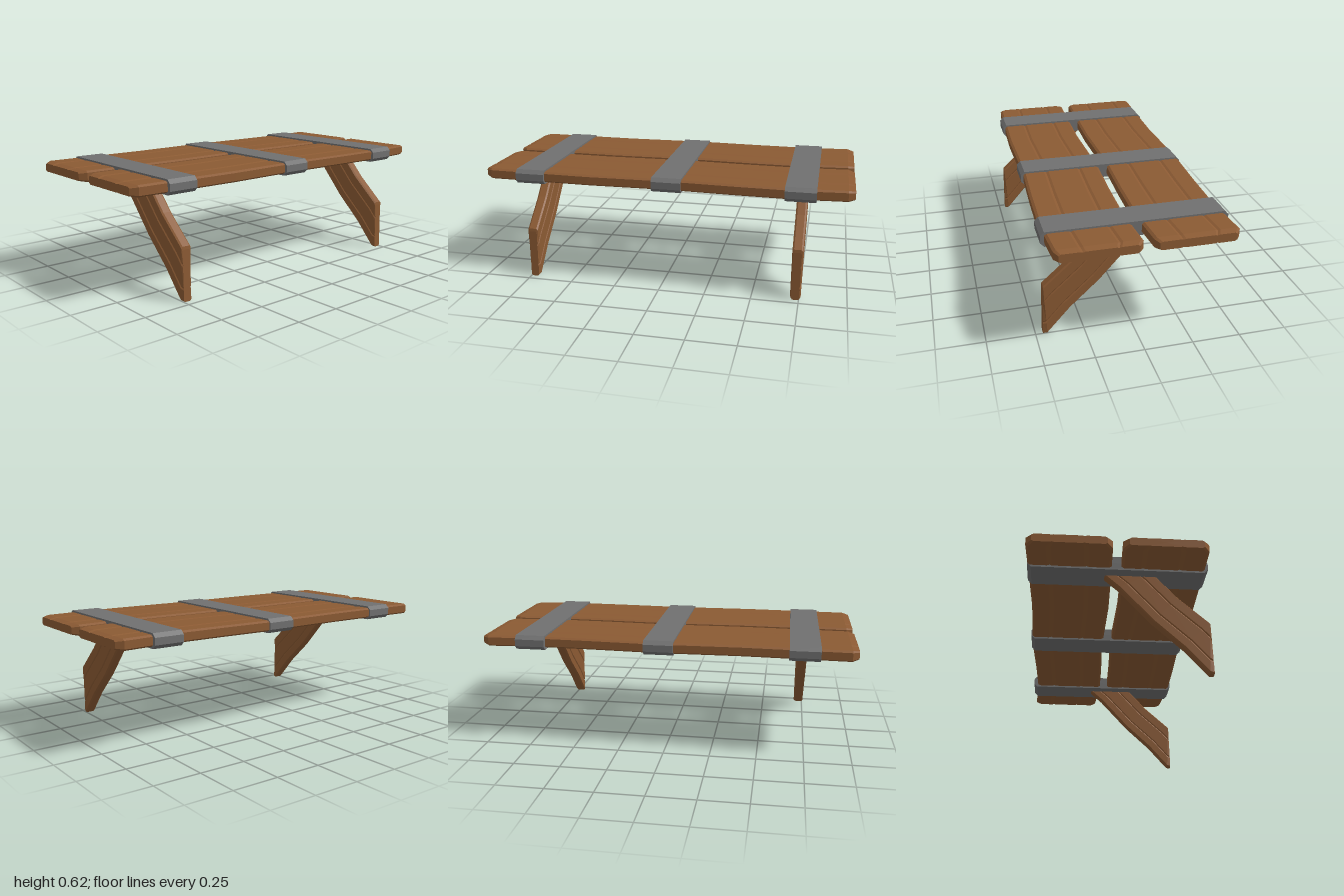
import * as THREE from 'three';

const wood = new THREE.MeshStandardMaterial({ color: 0x8b5a33, flatShading: true });
const metal = new THREE.MeshStandardMaterial({ color: 0x707070, flatShading: true });

// Half cross-section of a board: [fraction across width, fraction of half thickness],
// with chamfered edges and two shallow grooves
const HALF = [[0, 0.7], [0.03, 1], [0.23, 1], [0.26, 0.84], [0.29, 1],
  [0.67, 1], [0.7, 0.84], [0.73, 1], [0.97, 1], [1, 0.7]];
const PROFILE = [...HALF, ...HALF.map(([f, t]) => [f, -t]).reverse()];

// Loft a board through stations [x0, y0, x1, y1, halfThickness] (one edge to the other)
function boardGeometry(stations) {
  const rings = stations.map(([x0, y0, x1, y1, h]) => PROFILE.map(([f, t]) =>
    new THREE.Vector3(x0 + (x1 - x0) * f, y0 + (y1 - y0) * f, t * h)));
  const centre = ([x0, y0, x1, y1]) => new THREE.Vector3((x0 + x1) / 2, (y0 + y1) / 2, 0);
  const last = rings.length - 1;
  const first = centre(stations[0]);
  const end = centre(stations[last]);
  const pts = [];
  for (let i = 0; i < PROFILE.length; i++) {
    const j = (i + 1) % PROFILE.length;
    for (let k = 0; k < last; k++) {
      const a = rings[k][i], b = rings[k][j], c = rings[k + 1][j], e = rings[k + 1][i];
      pts.push(a, e, b, b, e, c);
    }
    pts.push(first, rings[0][i], rings[0][j], end, rings[last][j], rings[last][i]);
  }
  const geometry = new THREE.BufferGeometry().setFromPoints(pts);
  geometry.computeVertexNormals();
  return geometry;
}

function addMesh(group, name, geometry, material) {
  const mesh = new THREE.Mesh(geometry, material);
  mesh.name = name;
  group.add(mesh);
  return mesh;
}

export function createModel() {
  const group = new THREE.Group();
  group.name = 'plankTable';

  // Two gently wavy top planks: [z, left edge, right edge, half thickness]
  const wave = [
    [-1, -0.435, -0.055, 0.022], [-0.965, -0.46, -0.037, 0.029],
    [-0.7, -0.443, -0.018, 0.029], [-0.4, -0.45, -0.025, 0.029],
    [-0.05, -0.465, -0.04, 0.029], [0.4, -0.455, -0.031, 0.029],
    [0.7, -0.463, -0.039, 0.029], [0.965, -0.472, -0.047, 0.029], [1, -0.443, -0.075, 0.022],
  ];
  [['rightPlank', 0], ['leftPlank', 0.474]].forEach(([name, shift]) => {
    const geometry = boardGeometry(wave.map(([z, l, r, h]) => [l + shift, -z, r + shift, -z, h]));
    geometry.rotateX(-Math.PI / 2);
    addMesh(group, name, geometry, wood).position.y = 0.577;
  });

  // Bands across the planks: [name, centre z, right end, left end]
  [['frontBand', 0.73, -0.47, 0.45], ['middleBand', -0.03, -0.47, 0.45],
    ['backBand', -0.73, -0.47, 0.468]].forEach(([name, z, a, b]) => {
    const c = 0.02, y0 = 0.538, y1 = 0.615;
    const outline = new THREE.Shape([[a + c, y0], [b - c, y0], [b, y0 + c], [b, y1 - c],
      [b - c, y1], [a + c, y1], [a, y1 - c], [a, y0 + c]].map(p => new THREE.Vector2(...p)));
    const geometry = new THREE.ExtrudeGeometry(outline, { depth: 0.16, bevelEnabled: false });
    addMesh(group, name, geometry, metal).position.z = z - 0.08;
  });

  // Slanted, slightly crooked legs from the same grooved board
  const legStations = [
    [-0.1, 0.56, 0.13, 0.595, 0.028], [0, 0.47, 0.17, 0.565, 0.028],
    [0.17, 0.28, 0.3, 0.42, 0.028], [0.32, 0.14, 0.453, 0.283, 0.028],
    [0.44, 0.004, 0.455, 0.281, 0.028], [0.462, 0, 0.457, 0.265, 0.022],
  ];
  [['frontLeg', 0.728], ['backLeg', -0.732]].forEach(([name, z]) => {
    addMesh(group, name, boardGeometry(legStations), wood).position.z = z;
  });

  return group;
}
